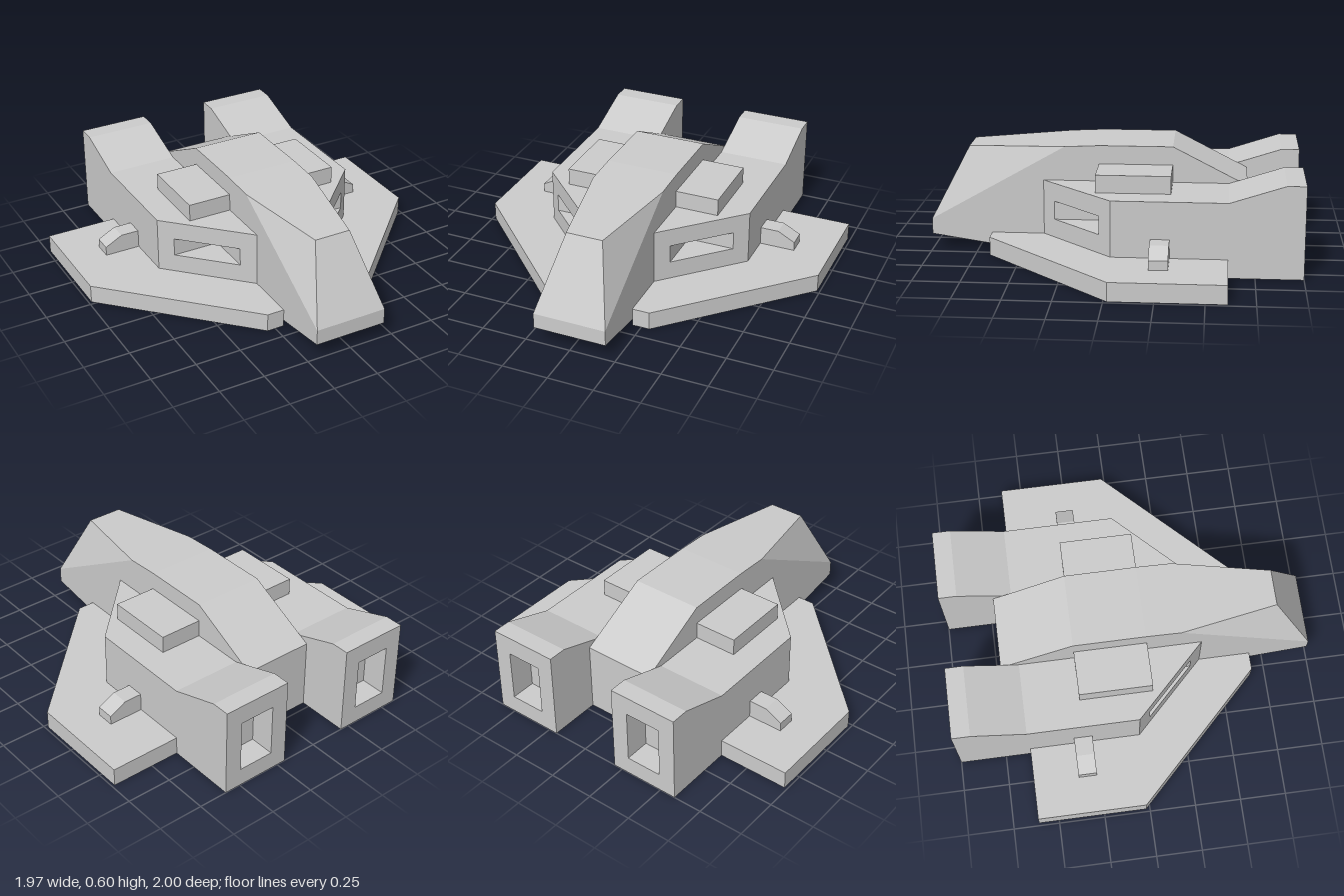
import * as THREE from 'three';
import { ConvexGeometry } from 'three/addons/geometries/ConvexGeometry.js';

const material = new THREE.MeshStandardMaterial({ color: 0xcccccc, flatShading: true });

function part(name, geometry) {
  const mesh = new THREE.Mesh(geometry, material);
  mesh.name = name;
  return mesh;
}

function extrude(points, depth) {
  const shape = new THREE.Shape(points.map(([a, b]) => new THREE.Vector2(a, b)));
  return new THREE.ExtrudeGeometry(shape, { depth, bevelEnabled: false });
}

// Floor plan of [x, z] points raised from y0 to y1; side = -1 mirrors it
function slab(name, plan, y0, y1, side) {
  const geometry = extrude(plan.map(([x, z]) => [side * x, z]), y1 - y0);
  return part(name, geometry.rotateX(Math.PI / 2).translate(0, y1, 0));
}

// Hull with a tapered nose, sloping tail and raised chin
function fuselage() {
  const profile = [[1, 0.085], [1, 0.17], [0.27, 0.586], [0.08, 0.595],
    [-0.31, 0.595], [-0.71, 0.39], [-0.71, 0], [0.44, 0]];
  const points = [];
  for (const side of [-1, 1]) {
    for (const [z, y] of profile) points.push(new THREE.Vector3(side * 0.2, y, z));
    points.push(new THREE.Vector3(side * 0.1, 0.56, 0.8));
  }
  return part('fuselage', new ConvexGeometry(points));
}

// Engine pod in layers, with an intake cut in front and an exhaust cut behind
function enginePod(side) {
  const pod = new THREE.Group();
  pod.name = side > 0 ? 'leftEnginePod' : 'rightEnginePod';
  const intake = [[0.265, 0.32], [0.265, 0.06], [0.525, 0.06]];
  const exhaust = [[0.495, -1], [0.495, -0.86], [0.295, -0.86], [0.295, -1]];
  const layers = [[0, 0.1], [0.1, 0.2], [0.2, 0.3], [0.3, 0.39], [0.39, 0.4]];
  layers.forEach(([y0, y1], i) => {
    const plan = [[0.2, 0.385], ...(i === 2 ? intake : []), [0.59, -0.005],
      [0.59, -1], ...(i > 0 && i < 4 ? exhaust : []), [0.2, -1]];
    pod.add(slab('podLayer', plan, y0, y1, side));
  });

  // Raised tail fairing: side profile in [-z, y], extruded across the pod
  const tail = extrude([[0.61, 0.4], [1, 0.4], [1, 0.495], [0.9, 0.495]], 0.39);
  tail.rotateY(Math.PI / 2).translate(side > 0 ? 0.2 : -0.59, 0, 0);
  // After the turn the profile runs along -z
  pod.add(part('tailFairing', tail));
  return pod;
}

export function createModel() {
  const model = new THREE.Group();
  model.name = 'spacecraft';
  model.add(fuselage());

  const wingPlan = [[0.2, 0.67], [0.295, 0.67], [0.985, -0.02], [0.985, -0.61], [0.2, -0.61]];
  const blockPlan = [[0.2, 0.085], [0.44, 0.085], [0.44, -0.31], [0.2, -0.31]];
  const stubProfile = [[0.59, 0.1], [0.59, 0.2], [0.69, 0.2], [0.785, 0.15], [0.785, 0.1]];

  for (const side of [1, -1]) {
    const label = side > 0 ? 'left' : 'right';
    model.add(slab(label + 'Wing', wingPlan, 0, 0.1, side));
    model.add(enginePod(side));
    model.add(slab(label + 'RoofBlock', blockPlan, 0.4, 0.495, side));

    // Small sloped fitting on the wing, set further back on the right
    const stub = extrude(stubProfile.map(([x, y]) => [side * x, y]), 0.1);
    stub.translate(0, 0, side > 0 ? -0.31 : -0.365);
    model.add(part(label + 'WingFitting', stub));
  }
  return model;
}
